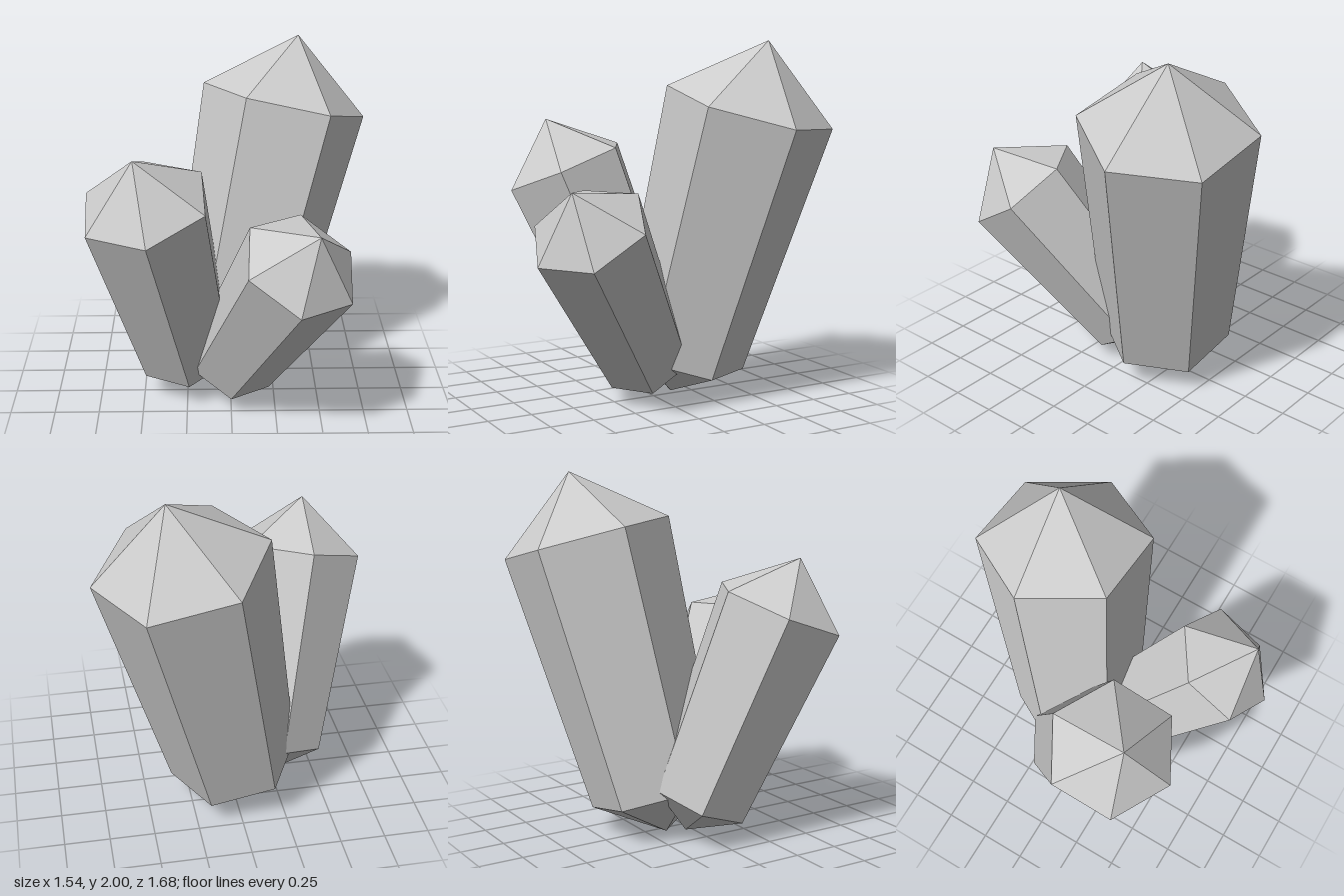
import * as THREE from 'three';

// One six-sided crystal, pointed at both ends and widening upwards.
// base and tip are its two points; edge points towards one of its corners.
function crystal(name, base, tip, edge, material) {
  const foot = new THREE.Vector3(...base);
  const axis = new THREE.Vector3(...tip).sub(foot);
  const length = axis.length();
  axis.normalize();

  const profile = [
    [0, 0],
    [0.176, 0.115],
    [0.225, 0.82],
    [0, 1],
  ].map(([r, h]) => new THREE.Vector2(r * length, h * length));
  const mesh = new THREE.Mesh(new THREE.LatheGeometry(profile, 6), material);
  mesh.name = name;

  // Stand the profile along the axis, with a corner facing the edge direction
  const corner = new THREE.Vector3(...edge).projectOnPlane(axis).normalize();
  const side = new THREE.Vector3().crossVectors(axis, corner);
  mesh.quaternion.setFromRotationMatrix(new THREE.Matrix4().makeBasis(side, axis, corner));
  mesh.position.copy(foot);
  return mesh;
}

export function createModel() {
  const group = new THREE.Group();
  group.name = 'crystalCluster';
  const stone = new THREE.MeshStandardMaterial({ color: 0xcccccc, flatShading: true });

  group.add(
    crystal('tallCrystal', [-0.05, 0.005, -0.14], [0.39, 2, -0.49], [0.455, -0.1, 0.015], stone),
    crystal('rightCrystal', [-0.22, 0.06, -0.12], [-0.51, 1.56, 0.42], [0.32, 0, 0.175], stone),
    crystal('frontCrystal', [-0.045, 0.09, -0.04], [0.44, 1.25, 0.705], [0.275, 0, -0.18], stone),
  );
  return group;
}
